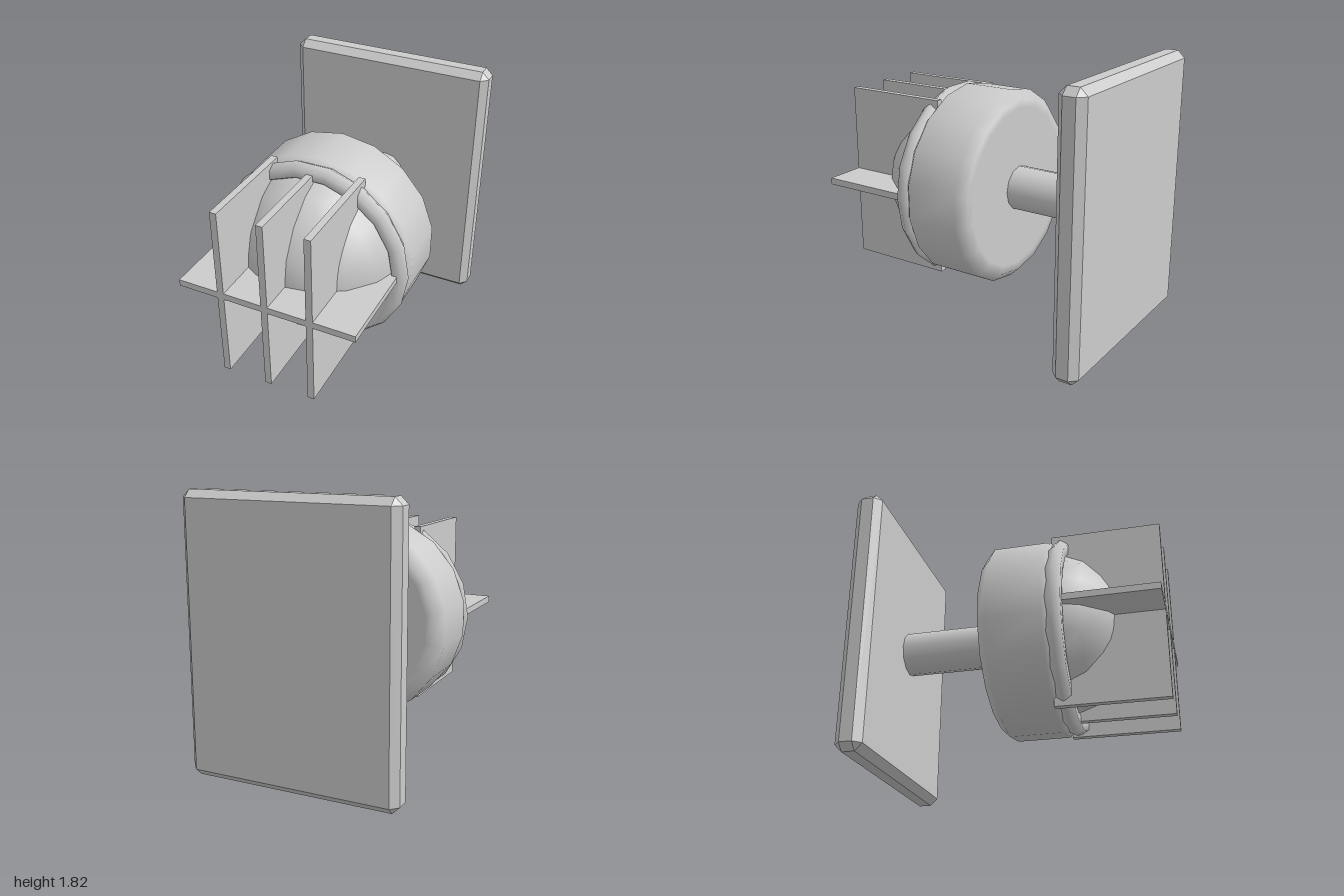
import * as THREE from 'three';
import { ConvexGeometry } from 'three/addons/geometries/ConvexGeometry.js';

const AXIS_Y = 0.91; // height of the lamp axis

// Box with every edge chamfered by c
function chamferedBox(w, h, d, c) {
  const points = [];
  for (const sx of [-1, 1]) for (const sy of [-1, 1]) for (const sz of [-1, 1]) {
    const [x, y, z] = [w / 2, h / 2, d / 2];
    points.push(
      new THREE.Vector3(sx * x, sy * (y - c), sz * (z - c)),
      new THREE.Vector3(sx * (x - c), sy * y, sz * (z - c)),
      new THREE.Vector3(sx * (x - c), sy * (y - c), sz * z));
  }
  return new ConvexGeometry(points);
}

export function createModel() {
  const group = new THREE.Group();
  const grey = new THREE.MeshStandardMaterial({ color: 0xcccccc });
  grey.name = 'light grey';

  const add = (name, geometry, x, y, z) => {
    const mesh = new THREE.Mesh(geometry, grey);
    mesh.name = name;
    mesh.position.set(x, y, z);
    group.add(mesh);
  };

  // Wall plate and the arm that carries the lamp
  add('wallPlate', chamferedBox(1.44, 1.82, 0.18, 0.048), 0, AXIS_Y, -0.91);
  add('arm', new THREE.CylinderGeometry(0.15, 0.15, 0.76, 12).rotateX(Math.PI / 2), 0, AXIS_Y, -0.48);

  // Drum housing, turned around the z axis
  const profile = [[0, -0.15], [0.55, -0.15], [0.605, -0.15], [0.665, -0.09],
    [0.665, 0.27], [0.605, 0.33], [0.55, 0.33], [0, 0.33]];
  const housing = new THREE.LatheGeometry(profile.map(([r, z]) => new THREE.Vector2(r, z)), 18);
  add('housing', housing.rotateX(Math.PI / 2), 0, AXIS_Y, 0);

  // Rim ring and domed lens
  add('rimRing', new THREE.TorusGeometry(0.605, 0.06, 6, 18), 0, AXIS_Y, 0.335);
  const dome = new THREE.SphereGeometry(0.6, 18, 5, 0, Math.PI * 2, 0, Math.PI * 5 / 9);
  add('lensDome', dome.rotateX(Math.PI / 2), 0, AXIS_Y, 0.185);

  // Guard made of three upright fins and one level fin
  for (const x of [-0.305, 0, 0.305]) {
    add('guardFin', new THREE.BoxGeometry(0.045, 1.215, 0.725), x, AXIS_Y, 0.6375);
  }
  add('guardCrossFin', new THREE.BoxGeometry(1.21, 0.045, 0.725), 0, AXIS_Y, 0.6375);

  return group;
}
